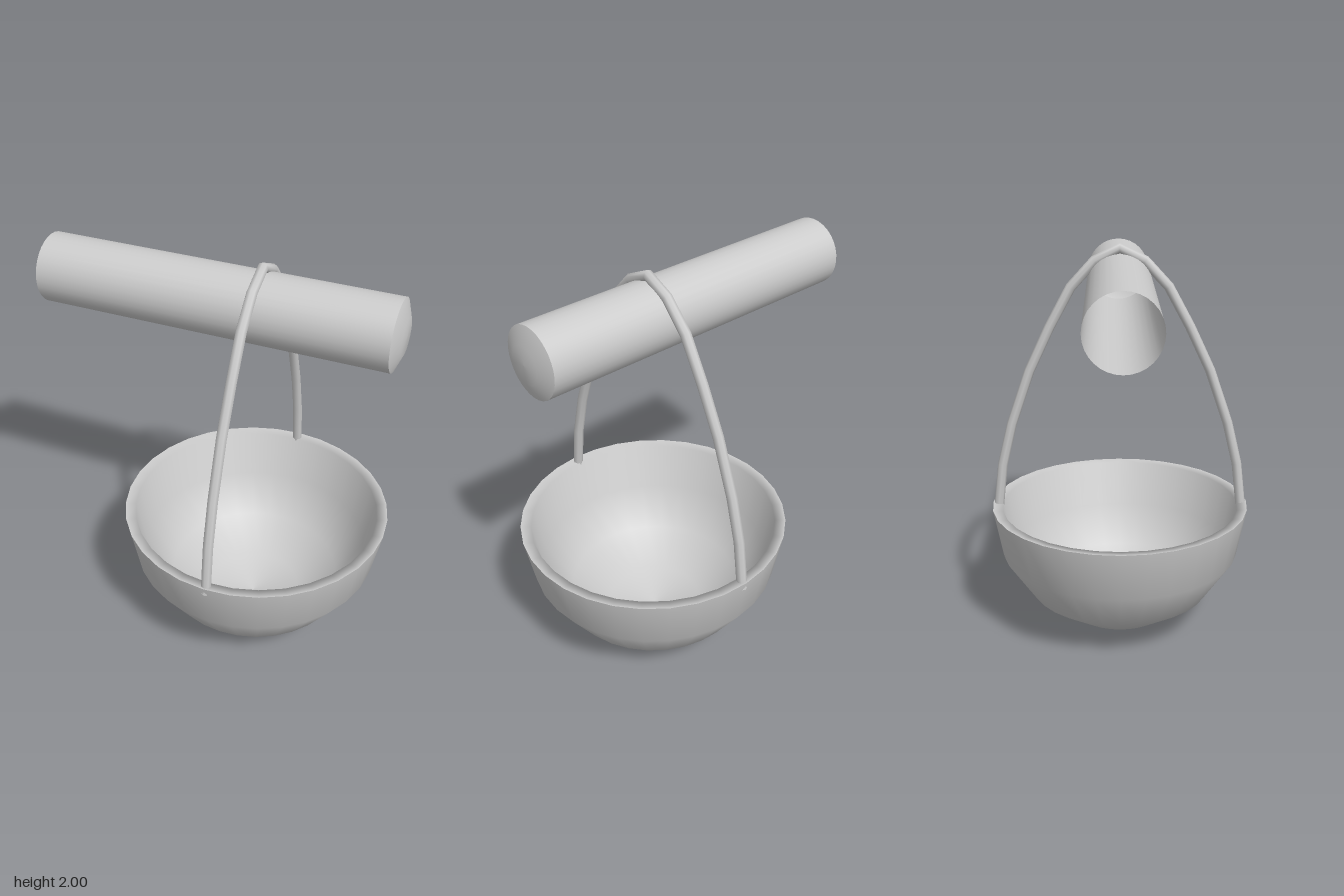
import * as THREE from 'three';

const material = new THREE.MeshStandardMaterial({ color: 0xcccccc, side: THREE.DoubleSide });

function addMesh(parent, name, geometry) {
  const mesh = new THREE.Mesh(geometry, material);
  mesh.name = name;
  parent.add(mesh);
  return mesh;
}

// Revolved surface from [radius, height] pairs
function lathe(pairs) {
  return new THREE.LatheGeometry(pairs.map(([r, h]) => new THREE.Vector2(r, h)), 32);
}

export function createModel() {
  const model = new THREE.Group();
  model.name = 'hangingBasket';
  const centreX = 0.19;

  // Bowl: faceted profile, thick wall with a flat rim
  const bowl = new THREE.Group();
  bowl.name = 'bowl';
  bowl.position.x = centreX;
  model.add(bowl);
  addMesh(bowl, 'bowlOutside', lathe([[0, 0], [0.255, 0.055], [0.47, 0.2], [0.613, 0.415], [0.66, 0.67]]));
  addMesh(bowl, 'bowlInside', lathe([[0.66, 0.67], [0.608, 0.665], [0.562, 0.43], [0.43, 0.235], [0.235, 0.105], [0, 0.06]]));

  // Arched handle: half outline mirrored front to back, one tube ring per point
  const half = [[0.633, 0.63], [0.602, 0.88], [0.547, 1.1], [0.45, 1.375], [0.345, 1.595], [0.238, 1.79], [0.122, 1.915]];
  const outline = [...half, [0, 1.975], ...half.map(([z, y]) => [-z, y]).reverse()];
  const arch = new THREE.CatmullRomCurve3(outline.map(([z, y]) => new THREE.Vector3(centreX, y, z)));
  arch.getUtoTmapping = (u) => u;
  addMesh(model, 'handle', new THREE.TubeGeometry(arch, outline.length - 1, 0.025, 8));

  // Handle foot ends
  for (const side of [1, -1]) {
    const cap = addMesh(model, 'handleFoot', new THREE.CircleGeometry(0.025, 8));
    cap.rotation.x = Math.PI / 2;
    cap.position.set(centreX, 0.63, side * 0.633);
  }

  // Crossbar: hollow tube, open at one end with a shallow domed cap at the other
  const bar = new THREE.Group();
  bar.name = 'crossbar';
  bar.rotation.z = -Math.PI / 2;
  bar.position.y = 1.785;
  model.add(bar);
  addMesh(bar, 'barTube', lathe([[0.163, -0.855], [0.163, 0.805]]));
  addMesh(bar, 'barCap', lathe([[0.163, 0.805], [0.085, 0.835], [0, 0.838]]));

  return model;
}
